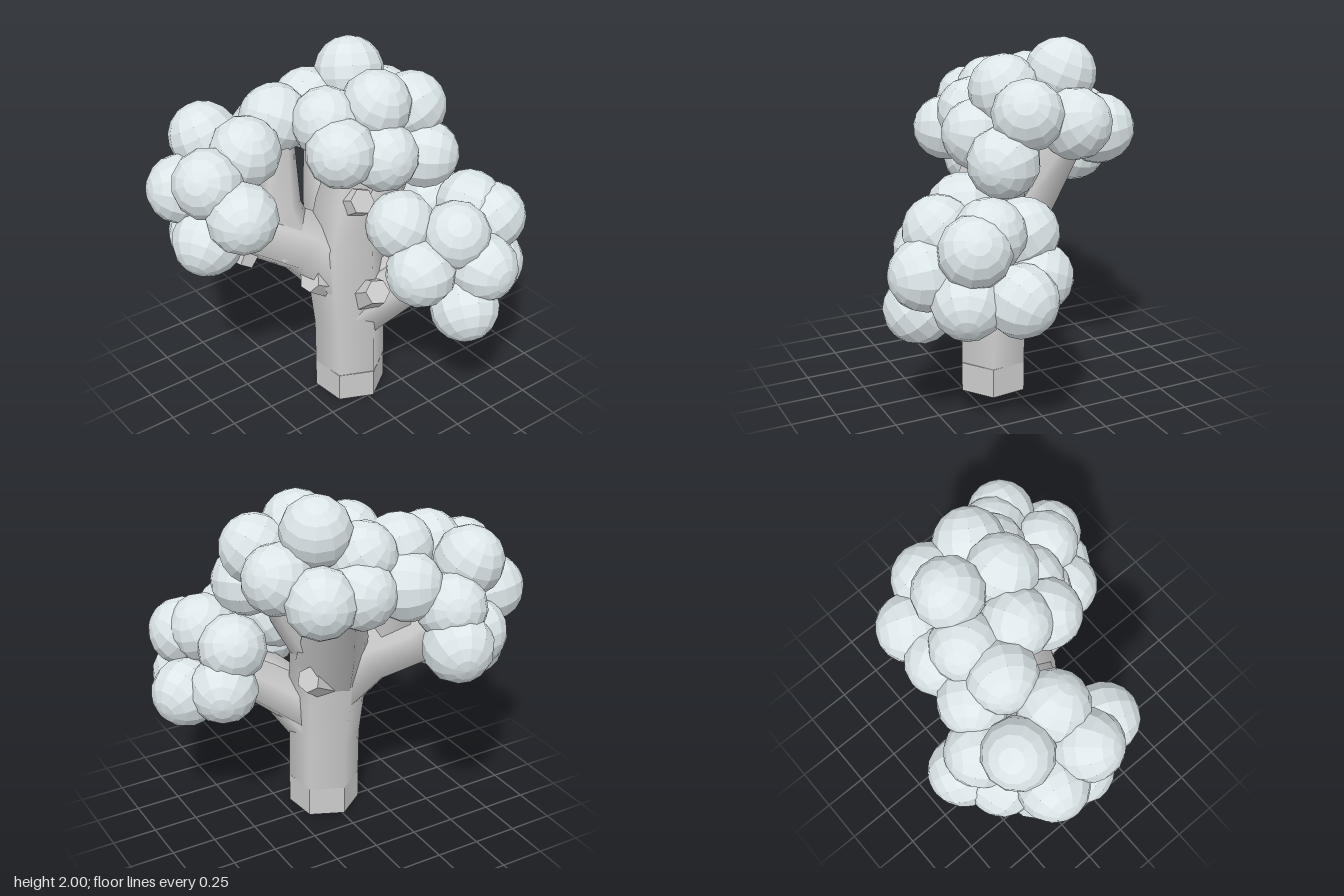
import * as THREE from 'three';

const barkMaterial = new THREE.MeshStandardMaterial({ color: 0xcccccc });
const cutMaterial = new THREE.MeshStandardMaterial({ color: 0xcccccc, flatShading: true });
const leafMaterial = new THREE.MeshStandardMaterial({ color: 0xdce6e9, flatShading: true });
const UP = new THREE.Vector3(0, 1, 0);

// Six-sided tapered limb through stations of [x, y, z, radius]
function limb(name, stations, material = barkMaterial) {
  const n = stations.length - 1;
  const points = stations.map(([x, y, z]) => new THREE.Vector3(x, y, z));
  const turns = points.map((p, i) => {
    const dir = points[Math.min(i + 1, n)].clone().sub(points[Math.max(i - 1, 0)]).normalize();
    return new THREE.Quaternion().setFromUnitVectors(UP, dir);
  });
  const geometry = new THREE.CylinderGeometry(1, 1, 1, 6, n);
  geometry.rotateY(THREE.MathUtils.degToRad(-24));
  const { position, normal } = geometry.attributes;
  const v = new THREE.Vector3();
  for (let i = 0; i < position.count; i++) {
    const k = Math.round((position.getY(i) + 0.5) * n);
    v.set(position.getX(i), 0, position.getZ(i)).multiplyScalar(stations[k][3]);
    v.applyQuaternion(turns[k]).add(points[k]);
    position.setXYZ(i, v.x, v.y, v.z);
    v.fromBufferAttribute(normal, i).applyQuaternion(turns[k]);
    normal.setXYZ(i, v.x, v.y, v.z);
  }
  const mesh = new THREE.Mesh(geometry, material);
  mesh.name = name;
  return mesh;
}

// Clump of faceted balls, each with its pole pointing away from the clump centre
function clump(name, centre, balls) {
  const group = new THREE.Group();
  group.name = name;
  const middle = new THREE.Vector3(...centre);
  const geometry = new THREE.SphereGeometry(0.19, 12, 9);
  for (const place of balls) {
    const ball = new THREE.Mesh(geometry, leafMaterial);
    ball.name = 'leafBall';
    ball.position.set(...place);
    const out = ball.position.clone().sub(middle).normalize();
    ball.quaternion.setFromUnitVectors(UP, out);
    group.add(ball);
  }
  return group;
}

export function createModel() {
  const tree = new THREE.Group();
  tree.name = 'tree';

  // Trunk and main branches
  const wood = new THREE.Group();
  wood.name = 'wood';
  wood.add(
    limb('trunkFoot', [[0.065, 0, -0.01, 0.2], [0.065, 0.17, -0.01, 0.2]], cutMaterial),
    limb('trunk', [
      [0.065, 0.17, -0.01, 0.2], [0.06, 0.45, -0.01, 0.2], [0.05, 0.7, 0, 0.215],
      [0.03, 0.95, 0, 0.215], [0.02, 1.2, -0.04, 0.19], [0, 1.5, -0.12, 0.14],
    ]),
    limb('sideBranch', [
      [0.08, 0.5, -0.03, 0.17], [0.28, 0.72, -0.2, 0.14], [0.48, 0.92, -0.38, 0.1],
    ]),
    limb('backBranch', [
      [0.1, 0.6, -0.06, 0.15], [0.22, 0.78, -0.32, 0.13], [0.3, 0.95, -0.55, 0.09],
    ]),
    limb('frontBranch', [
      [0.04, 0.75, 0.02, 0.19], [-0.07, 0.97, 0.2, 0.19], [-0.2, 1.08, 0.42, 0.18], [-0.3, 1.23, 0.58, 0.12],
    ]),
    limb('frontFork', [
      [-0.08, 0.95, 0.27, 0.16], [-0.15, 1.2, 0.32, 0.13], [-0.22, 1.52, 0.27, 0.1],
    ]),
    limb('leftBranch', [
      [0.03, 0.85, 0, 0.2], [-0.13, 1.14, -0.05, 0.18], [-0.32, 1.44, -0.12, 0.12],
    ]),
    limb('rightBranch', [
      [0.03, 1, -0.03, 0.17], [0.1, 1.25, -0.17, 0.15], [0.14, 1.5, -0.3, 0.1],
    ]),
  );

  // Short sawn-off twigs
  const stubs = [
    [[0.04, 0.73, 0.1], [0.07, 0.82, 0.27]],
    [[0.2, 0.68, -0.02], [0.34, 0.78, 0.01]],
    [[0.05, 1.2, 0], [0.21, 1.29, 0.02]],
    [[-0.05, 0.85, -0.08], [-0.12, 0.92, -0.21]],
    [[-0.2, 1.05, 0.45], [-0.18, 0.9, 0.54]],
  ];
  for (const [from, to] of stubs) wood.add(limb('twigStub', [[...from, 0.1], [...to, 0.07]], cutMaterial));
  tree.add(wood);

  // Foliage clumps
  tree.add(
    clump('frontFoliage', [-0.32, 1.3, 0.5], [
      [0.045, 1.34, 0.66], [-0.16, 1.58, 0.5], [-0.14, 1.48, 0.74], [-0.45, 1.57, 0.57],
      [-0.38, 1.35, 0.76], [-0.18, 1.12, 0.74], [-0.38, 1.05, 0.65], [-0.65, 1.2, 0.38],
      [-0.53, 1.2, 0.55], [-0.55, 1.38, 0.4],
    ]),
    clump('topFoliage', [-0.1, 1.45, -0.15], [
      [-0.23, 1.81, -0.22], [0.07, 1.74, -0.17], [0.06, 1.66, -0.42], [0.19, 1.43, -0.41],
      [0.2, 1.51, -0.12], [0.13, 1.57, 0.1], [-0.04, 1.67, 0.07], [-0.31, 1.66, 0],
      [-0.27, 1.65, 0.24], [-0.21, 1.59, -0.43], [-0.42, 1.51, -0.3], [-0.42, 1.51, -0.07],
      [-0.43, 1.5, 0.2],
    ]),
    clump('sideFoliage', [0.4, 0.92, -0.45], [
      [0.64, 0.7, -0.35], [0.65, 0.92, -0.46], [0.5, 0.93, -0.15], [0.53, 1.1, -0.36],
      [0.31, 1.13, -0.16], [0.5, 0.81, -0.65], [0.47, 1.08, -0.67], [0.26, 0.82, -0.76],
      [0.1, 0.87, -0.61], [0.14, 1.08, -0.53], [0.36, 1.13, -0.6],
    ]),
  );
  return tree;
}
